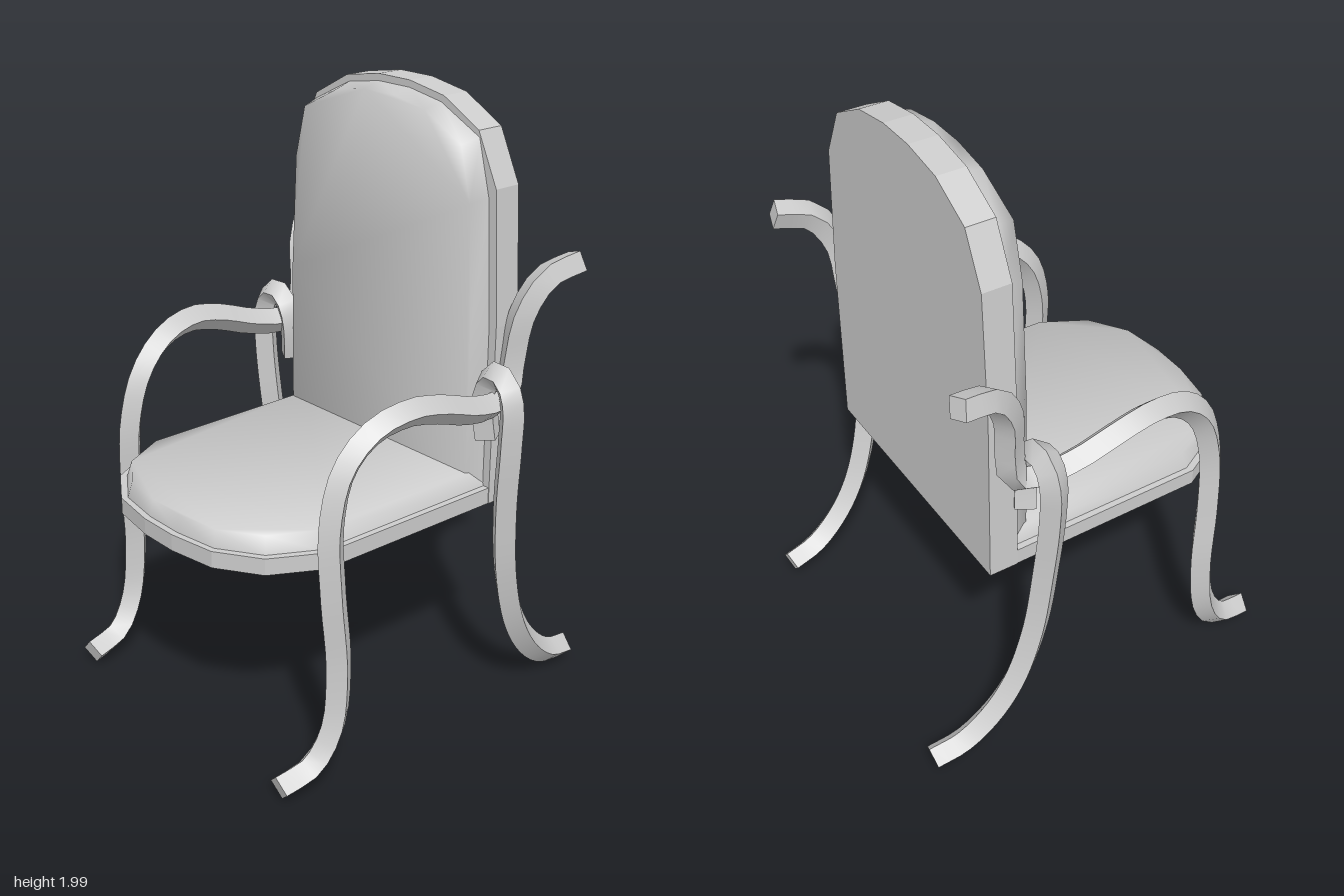
import * as THREE from 'three';
import { toCreasedNormals } from 'three/addons/utils/BufferGeometryUtils.js';

const grey = new THREE.MeshStandardMaterial({ color: 0xcccccc });

// Mirrors the right half of an outline (bottom to top) into a closed shape
function outline(half) {
  const left = half.map(([x, y]) => [-x, y]).reverse();
  return new THREE.Shape([...half, ...left].map(([x, y]) => new THREE.Vector2(x, y)));
}

function slab(half, depth) {
  return new THREE.ExtrudeGeometry(outline(half), { depth, bevelEnabled: false });
}

// A slab whose outer face is drawn in, like a padded edge
function cushion(half, depth) {
  const g = slab(half, depth);
  const p = g.attributes.position;
  const base = half[0][1];
  for (let i = 0; i < p.count; i++) {
    if (p.getZ(i) < depth / 2) continue;
    p.setX(i, p.getX(i) * 0.955);
    p.setY(i, base + (p.getY(i) - base) * 0.986);
  }
  return toCreasedNormals(g, 1.4);
}

// Lays an upright slab flat, with its top edge pointing forward
const layFlat = (g) => g.rotateX(-Math.PI / 2).rotateY(Math.PI);

// Four-sided bar swept along a smooth curve, closed at both ends
function bar(points, segments) {
  const curve = new THREE.CatmullRomCurve3(points.map((p) => new THREE.Vector3(...p)));
  const tube = new THREE.TubeGeometry(curve, segments, 0.046, 4, false);
  const index = Array.from(tube.index.array);
  const e = segments * 5;
  index.push(0, 1, 2, 0, 2, 3, e, e + 2, e + 1, e, e + 3, e + 2);
  tube.setIndex(index);
  return toCreasedNormals(tube, 0.8);
}

export function createModel() {
  const model = new THREE.Group();
  const add = (name, geometry, x = 0, y = 0, z = 0) => {
    const mesh = new THREE.Mesh(geometry, grey);
    mesh.name = name;
    mesh.position.set(x, y, z);
    model.add(mesh);
  };

  // Backrest board and its padding
  add('backFrame', slab([
    [0.475, 0.7], [0.475, 1.3], [0.45, 1.73], [0.37, 1.895], [0.22, 1.975], [0.07, 2],
  ], 0.097), 0, 0, -0.397);
  add('backCushion', cushion([
    [0.448, 0.755], [0.446, 1.3], [0.422, 1.7], [0.375, 1.875], [0.21, 1.955], [0.07, 1.978],
  ], 0.065), 0, 0, -0.303);

  // Seat board and its padding
  add('seatFrame', layFlat(slab([
    [0.473, -0.3], [0.463, 0.38], [0.375, 0.54], [0.235, 0.63], [0.07, 0.656],
  ], 0.055)), 0, 0.7, 0);
  add('seatCushion', layFlat(cushion([
    [0.452, -0.3], [0.444, 0.37], [0.36, 0.525], [0.225, 0.613], [0.07, 0.636],
  ], 0.06)), 0, 0.75, 0);

  for (const [side, s] of [['left', 1], ['right', -1]]) {
    const mirrored = (pts) => pts.map(([x, y, z]) => [s * x, y, z]);

    // Front leg, armrest and rear scroll in a single bent bar
    add(side + 'FrontLegAndArm', bar(mirrored([
      [0.507, 0.053, 0.605], [0.522, 0.085, 0.49], [0.535, 0.2, 0.415], [0.533, 0.4, 0.39],
      [0.522, 0.65, 0.403], [0.51, 0.87, 0.4], [0.508, 1.03, 0.35], [0.52, 1.125, 0.25],
      [0.537, 1.155, 0.12], [0.54, 1.133, 0], [0.532, 1.09, -0.13], [0.518, 1.07, -0.25],
      [0.507, 1.09, -0.325], [0.505, 1.19, -0.345], [0.525, 1.35, -0.362],
      [0.55, 1.455, -0.43], [0.573, 1.487, -0.548],
    ]), 44));

    // Rear leg, hooked over the arm at its top
    add(side + 'RearLeg', bar(mirrored([
      [0.523, 0.057, -0.65], [0.535, 0.085, -0.545], [0.547, 0.17, -0.44], [0.557, 0.3, -0.355],
      [0.567, 0.5, -0.293], [0.58, 0.75, -0.263], [0.597, 0.97, -0.253], [0.596, 1.1, -0.253],
      [0.562, 1.16, -0.255], [0.51, 1.162, -0.258], [0.475, 1.1, -0.263],
      [0.472, 1.02, -0.27], [0.48, 0.945, -0.277],
    ]), 40));
  }
  return model;
}
